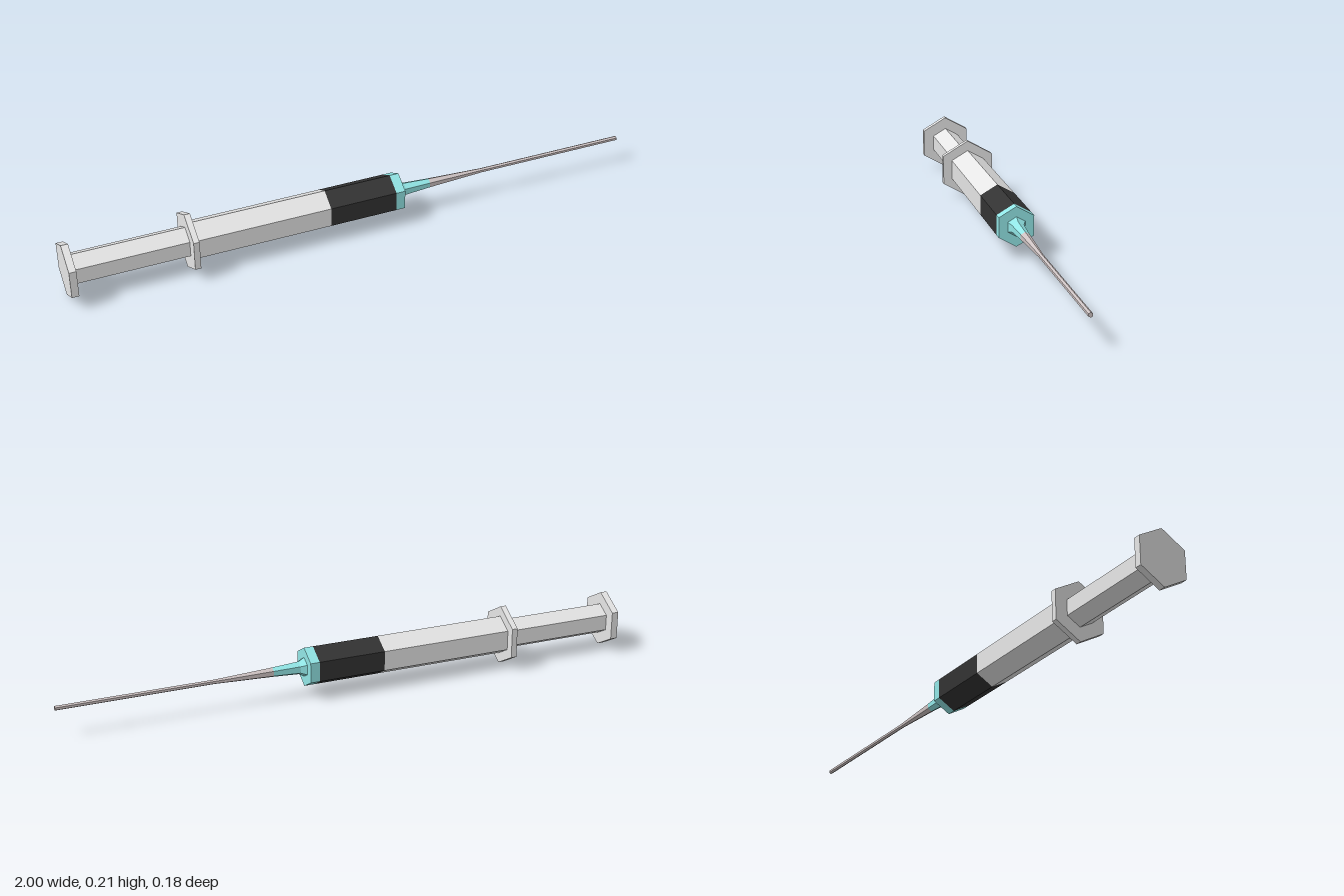
import * as THREE from 'three';

const AXIS_Y = 0.105;

function material(name, color) {
  const m = new THREE.MeshStandardMaterial({ color, flatShading: true });
  m.name = name;
  return m;
}

export function createModel() {
  const group = new THREE.Group();
  group.name = 'syringe';

  const plastic = material('light grey plastic', 0xe6e6e6);
  const rubber = material('black rubber', 0x333333);
  const teal = material('teal hub', 0x92e6e6);
  const steel = material('needle steel', 0xcdc2c2);

  // Six-sided section along x, corner up, from radius r0 at x0 to r1 at x1
  function section(name, mat, x0, x1, r0, r1 = r0, open = false) {
    const geo = new THREE.CylinderGeometry(r1, r0, x1 - x0, 6, 1, open, Math.PI / 2);
    geo.rotateZ(-Math.PI / 2);
    const mesh = new THREE.Mesh(geo, mat);
    mesh.name = name;
    mesh.position.set((x0 + x1) / 2, AXIS_Y, 0);
    group.add(mesh);
  }

  // Plunger
  section('thumbRest', plastic, -1, -0.976, 0.098);
  section('plungerRod', plastic, -0.976, -0.595, 0.055);

  // Barrel with finger flange and dark stopper band
  section('fingerFlange', plastic, -0.595, -0.575, 0.105);
  section('barrel', plastic, -0.575, -0.11, 0.069);
  section('stopper', rubber, -0.11, 0.125, 0.069);

  // Hub and its stepped cone
  section('hub', teal, 0.125, 0.157, 0.069);
  section('hubCollar', teal, 0.157, 0.177, 0.034, 0.023, true);
  section('hubCone', teal, 0.177, 0.27, 0.023, 0.017, true);

  // Needle
  section('needleTaper', steel, 0.27, 0.47, 0.017, 0.008, true);
  section('needle', steel, 0.47, 1, 0.008);

  return group;
}
